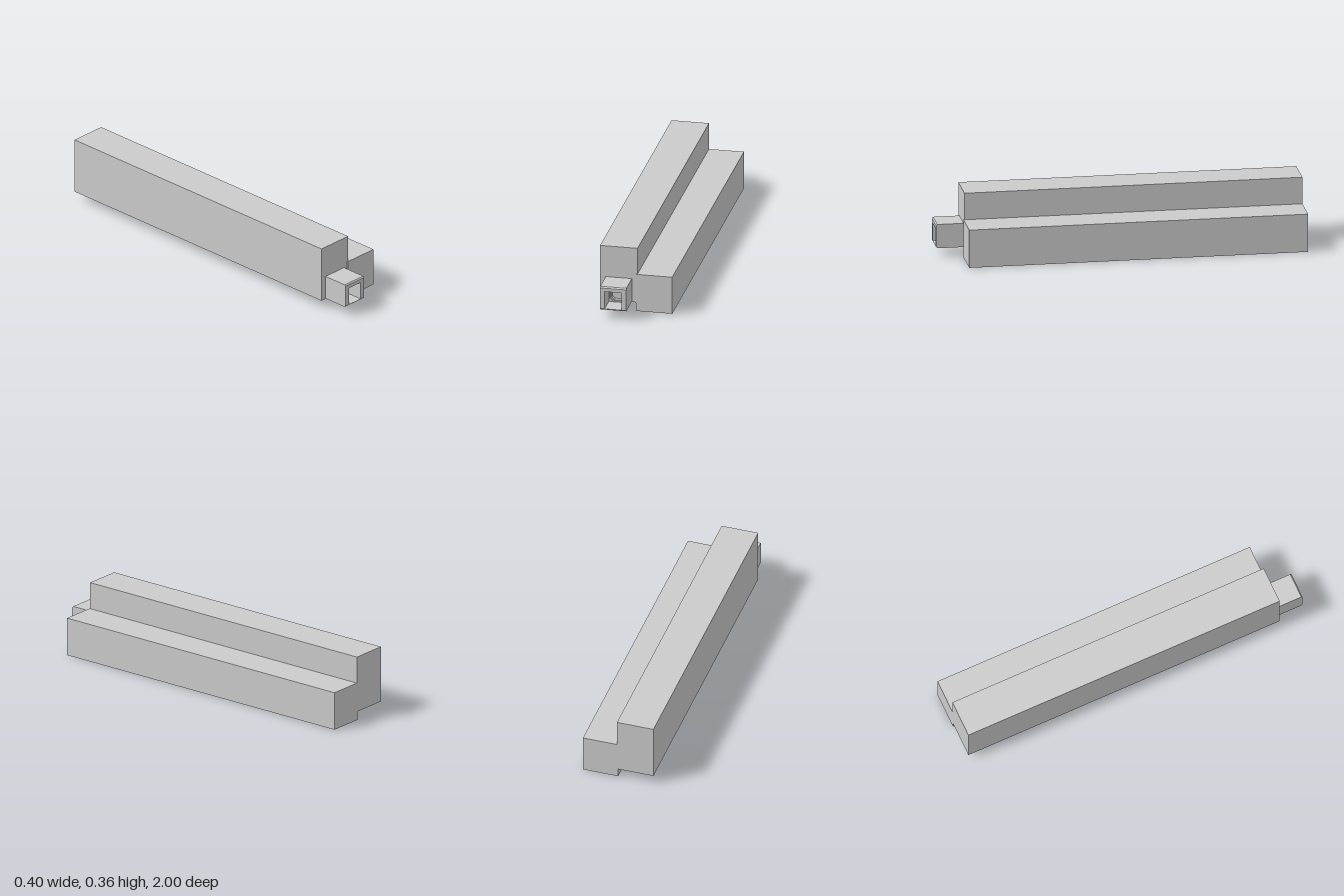
import * as THREE from 'three';

const material = new THREE.MeshStandardMaterial({ color: 0xcccccc, flatShading: true });

function add(parent, name, geometry) {
  const mesh = new THREE.Mesh(geometry, material);
  mesh.name = name;
  parent.add(mesh);
}

// Box given by its limits on each axis
function block(x0, x1, y0, y1, z0, z1) {
  return new THREE.BoxGeometry(x1 - x0, y1 - y0, z1 - z0)
    .translate((x0 + x1) / 2, (y0 + y1) / 2, (z0 + z1) / 2);
}

// Side profile of [z, y] points, extruded along x
function sideBar(points, x0, x1) {
  const shape = new THREE.Shape(points.map(([z, y]) => new THREE.Vector2(-z, y)));
  return new THREE.ExtrudeGeometry(shape, { depth: x1 - x0, bevelEnabled: false })
    .rotateY(Math.PI / 2).translate(x0, 0, 0);
}

// Rectangle with cut corners
function cutRect(x0, x1, y0, y1, c) {
  return [[x0 + c, y0], [x1 - c, y0], [x1, y0 + c], [x1, y1 - c],
    [x1 - c, y1], [x0 + c, y1], [x0, y1 - c], [x0, y0 + c]]
    .map(([x, y]) => new THREE.Vector2(x, y));
}

// Sleeve lying between two cut rectangles
function sleeve(outer, inner, z0, z1) {
  const shape = new THREE.Shape(cutRect(...outer));
  shape.holes.push(new THREE.Path(cutRect(...inner)));
  return new THREE.ExtrudeGeometry(shape, { depth: z1 - z0, bevelEnabled: false })
    .translate(0, 0, z0);
}

export function createModel() {
  const model = new THREE.Group();
  model.name = 'steppedBeam';

  // Two long beams side by side
  add(model, 'tallBeam', block(-0.2, 0.007, 0.048, 0.363, -1, 0.85));
  add(model, 'lowBeam', block(0, 0.2, 0, 0.213, -1, 0.855));
  add(model, 'seamTab', block(-0.008, 0, 0.043, 0.048, 0.8, 0.85));

  // Hollow square socket with chamfered front edges
  const socket = new THREE.Group();
  socket.name = 'socket';
  model.add(socket);
  const x0 = -0.168, x1 = -0.024, h0 = -0.143, h1 = -0.05;
  const y0 = 0.05, y1 = 0.184, v0 = 0.057, v1 = 0.157, c = 0.007;
  const side = [[0.85, y0], [1 - c, y0], [1, y0 + c], [1, y1 - c], [1 - c, y1], [0.85, y1]];
  add(socket, 'socketRightWall', sideBar(side, x0, h0));
  add(socket, 'socketLeftWall', sideBar(side, h1, x1));
  add(socket, 'socketRoof', sideBar(
    [[0.85, v1], [1, v1], [1, y1 - c], [1 - c, y1], [0.85, y1]], h0, h1));
  add(socket, 'socketFloor', sideBar(
    [[0.85, y0], [1 - c, y0], [1, v0], [0.85, v0]], h0, h1));

  // Octagonal sleeves stepping inward inside the socket
  const opening = [h0, h1, v0, v1, 0.001];
  const middle = [-0.138, -0.056, 0.06, 0.154, 0.018];
  const bore = [-0.131, -0.062, 0.063, 0.149, 0.016];
  add(socket, 'outerSleeve', sleeve(opening, middle, 0.85, 0.89));
  add(socket, 'innerSleeve', sleeve(middle, bore, 0.85, 0.875));

  return model;
}
